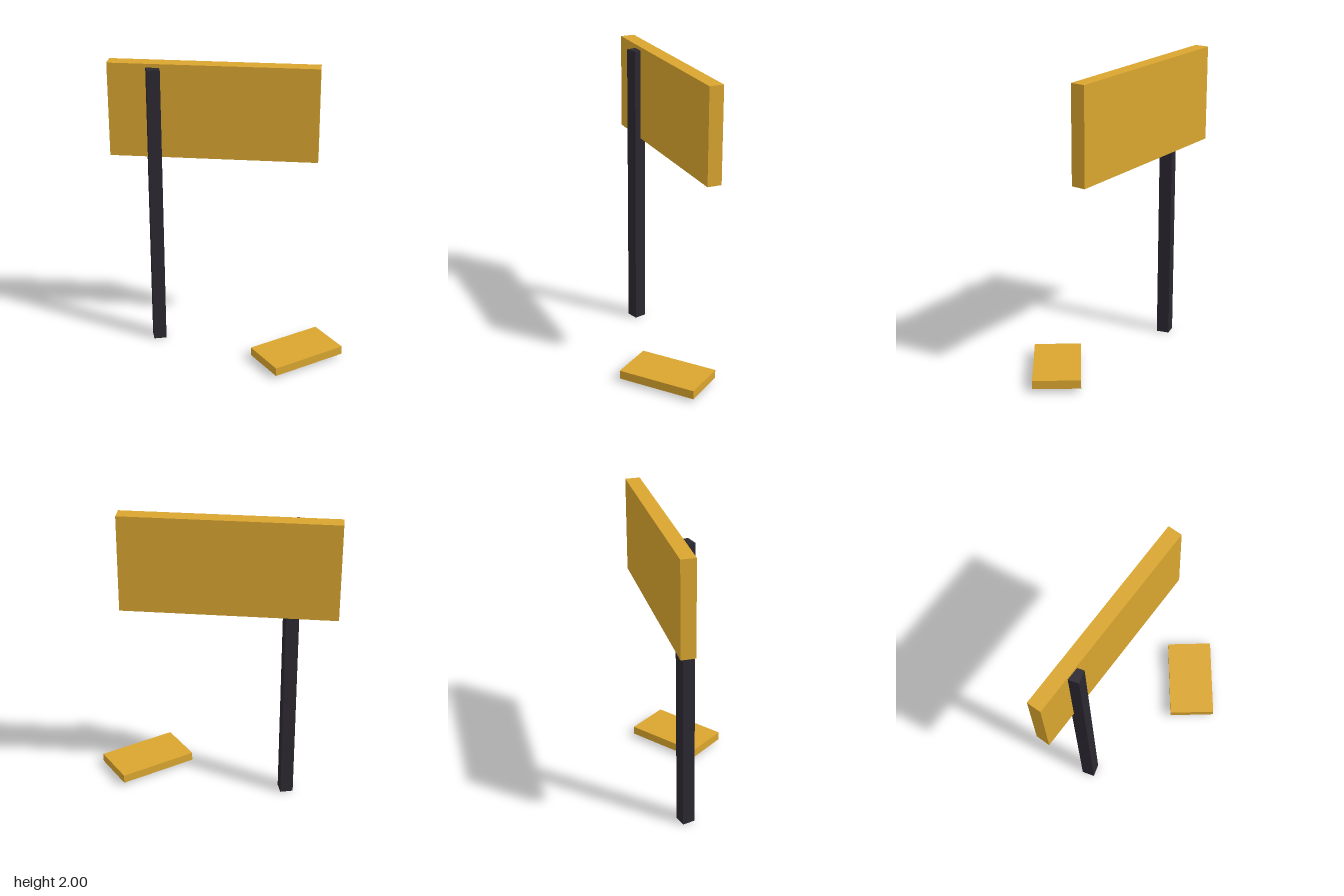
import * as THREE from 'three';

export function createModel() {
  const model = new THREE.Group();
  const yellow = new THREE.MeshStandardMaterial({ color: 0xd9a52f });
  const dark = new THREE.MeshStandardMaterial({ color: 0x2b2830 });

  // Upright box standing from y0 to y1, turned about the vertical axis
  function addBlock(name, material, width, depth, y0, y1, x, z, turn) {
    const mesh = new THREE.Mesh(new THREE.BoxGeometry(width, y1 - y0, depth), material);
    mesh.name = name;
    mesh.position.set(x, (y0 + y1) / 2, z);
    mesh.rotation.y = turn;
    model.add(mesh);
  }

  // Post, embedded in the sign board
  addBlock('post', dark, 0.086, 0.086, 0, 1.975, -0.479, -0.23, 0.12);
  // Wide board at the top of the post
  addBlock('signBoard', yellow, 1.38, 0.097, 1.36, 2, -0.085, -0.2345, -0.15);
  // Loose slab lying just above the ground
  addBlock('groundSlab', yellow, 0.54, 0.313, 0.022, 0.08, 0.459, 0.1125, 0.502);

  return model;
}
